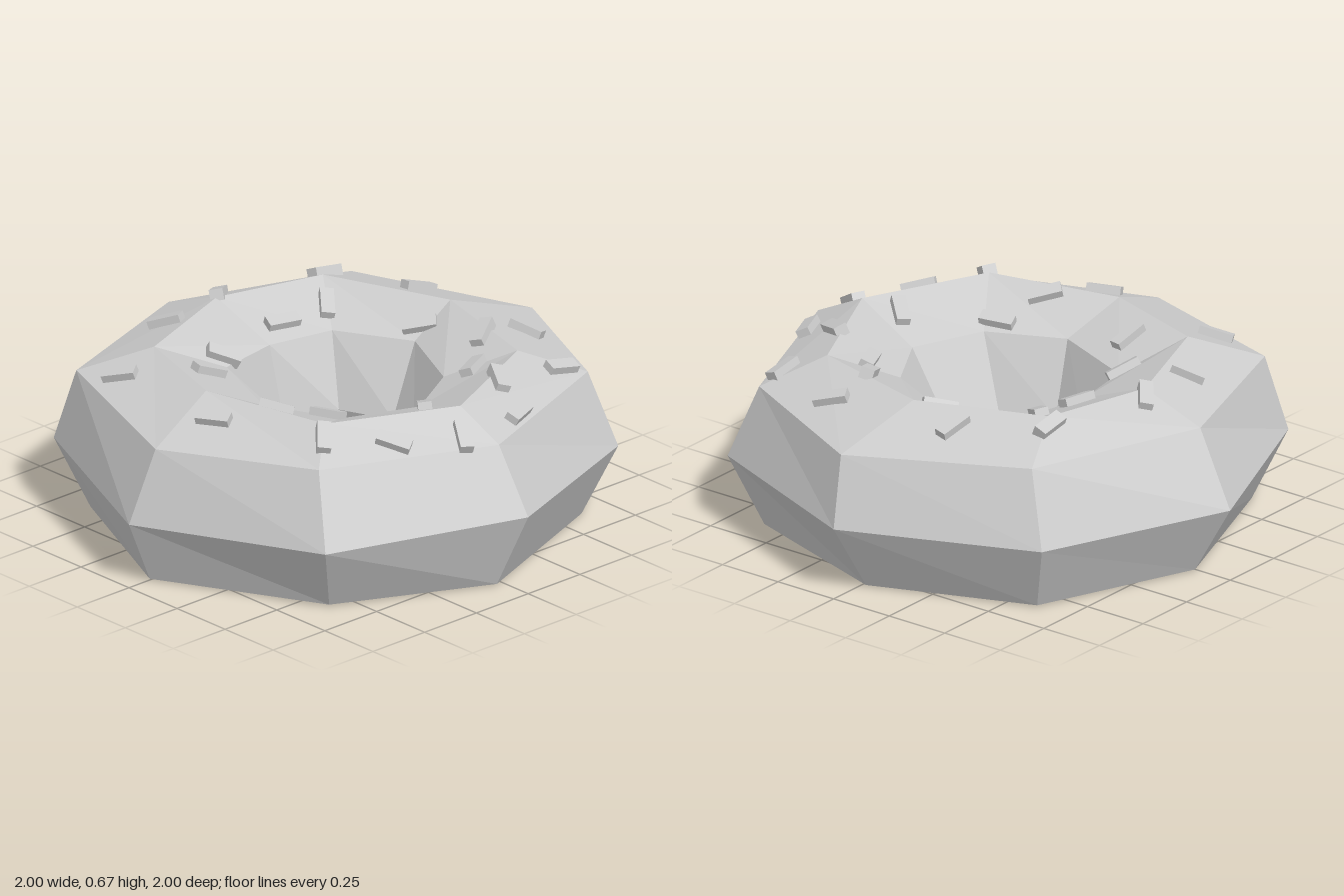
import * as THREE from 'three';

const SIDES = 8;

// A regular ring of [x, y, z] corners, running from +x towards +z
const evenRing = (r, y) => Array.from({ length: SIDES }, (_, i) => {
  const a = (i / SIDES) * Math.PI * 2;
  return [r * Math.cos(a), y, r * Math.sin(a)];
});
// A hand-shaped ring from [x, z] pairs at one height
const shapedRing = (y, pairs) => pairs.map(([x, z]) => [x, y, z]);

// Skin closed rings into a closed, faceted tube
function skinRings(rings) {
  const pos = [];
  rings.forEach((ring, j) => {
    const next = rings[(j + 1) % rings.length];
    for (let i = 0; i < SIDES; i++) {
      const k = (i + 1) % SIDES;
      pos.push(...ring[i], ...next[i], ...next[k], ...ring[i], ...next[k], ...ring[k]);
    }
  });
  const geo = new THREE.BufferGeometry();
  geo.setAttribute('position', new THREE.Float32BufferAttribute(pos, 3));
  geo.computeVertexNormals();
  return geo;
}

export function createModel() {
  const group = new THREE.Group();
  group.name = 'doughnut';
  const grey = new THREE.MeshStandardMaterial({ color: 0xcccccc });
  grey.name = 'light grey';
  grey.flatShading = true;

  // Dough ring: outer belt, shoulder, crest, inner rim, hole waist, flat base
  const belt = evenRing(1, 0.267);
  belt[2][1] = 0.295;
  belt[4][1] = 0.243;
  const shoulder = shapedRing(0.54, [[0.92, 0.03], [0.65, 0.61], [-0.02, 0.87], [-0.64, 0.6],
    [-0.9, 0.03], [-0.67, -0.63], [-0.02, -0.85], [0.64, -0.61]]);
  shoulder[0][1] = 0.52;
  shoulder[4][1] = 0.515;
  const crest = shapedRing(0.633, [[0.58, -0.03], [0.45, 0.46], [-0.03, 0.68], [-0.49, 0.47],
    [-0.6, -0.03], [-0.47, -0.44], [-0.01, -0.61], [0.4, -0.5]]);
  const rim = shapedRing(0.53, [[0.4, -0.02], [0.26, 0.28], [0.02, 0.415], [-0.25, 0.305],
    [-0.38, 0.03], [-0.245, -0.305], [0, -0.345], [0.25, -0.29]]);
  const waist = evenRing(0.275, 0.27);
  const baseInner = evenRing(0.37, 0.005);
  const baseOuter = shapedRing(0.005, [[0.84, -0.02], [0.62, 0.61], [-0.03, 0.87], [-0.59, 0.6],
    [-0.9, 0], [-0.62, -0.61], [0.01, -0.85], [0.61, -0.61]]);
  baseOuter[1][1] = 0;
  const dough = new THREE.Mesh(
    skinRings([belt, shoulder, crest, rim, waist, baseInner, baseOuter]), grey);
  dough.name = 'dough';
  group.add(dough);

  // Sprinkles: [x, z, direction x, direction z], laid flat on the facet below
  const sprinkles = [
    [-0.25, -0.61, 9, 17], [0.03, -0.64, 15, -14], [0.44, -0.53, 24, -2], [-0.64, -0.43, 14, 22],
    [0.11, -0.4, 22, 6], [0.31, -0.385, 14, -19], [-0.23, -0.345, 15, 14], [-0.415, -0.22, 23, 5],
    [0.62, -0.24, 22, 3], [0.45, -0.045, 17, 15], [-0.685, 0.105, 9, 18], [-0.495, 0.22, 17, 16],
    [-0.31, 0.29, 6, 21], [0.475, 0.255, 21, -9], [0.665, 0.27, 9, 18], [0.31, 0.385, 21, -9],
    [-0.08, 0.55, 13, -16], [0.235, 0.59, 10, -22], [0.545, 0.58, 22, 3], [-0.54, 0.515, 16, -20],
    [-0.34, 0.665, 11, 20], [-0.11, 0.78, 10, -18], [0.175, 0.755, 24, -10],
  ];
  const stick = new THREE.BoxGeometry(0.125, 0.042, 0.05);
  const down = new THREE.Vector3(0, -1, 0);
  sprinkles.forEach(([x, z, dx, dz]) => {
    const ray = new THREE.Raycaster(new THREE.Vector3(x, 2, z), down);
    const hit = ray.intersectObject(dough)[0];
    const up = hit.face.normal.clone();
    const along = new THREE.Vector3(dx, 0, dz);
    along.addScaledVector(up, -along.dot(up)).normalize();
    const across = new THREE.Vector3().crossVectors(along, up);
    const mesh = new THREE.Mesh(stick, grey);
    mesh.name = 'sprinkle';
    mesh.quaternion.setFromRotationMatrix(new THREE.Matrix4().makeBasis(along, up, across));
    mesh.position.copy(hit.point).addScaledVector(up, 0.008);
    group.add(mesh);
  });
  return group;
}
